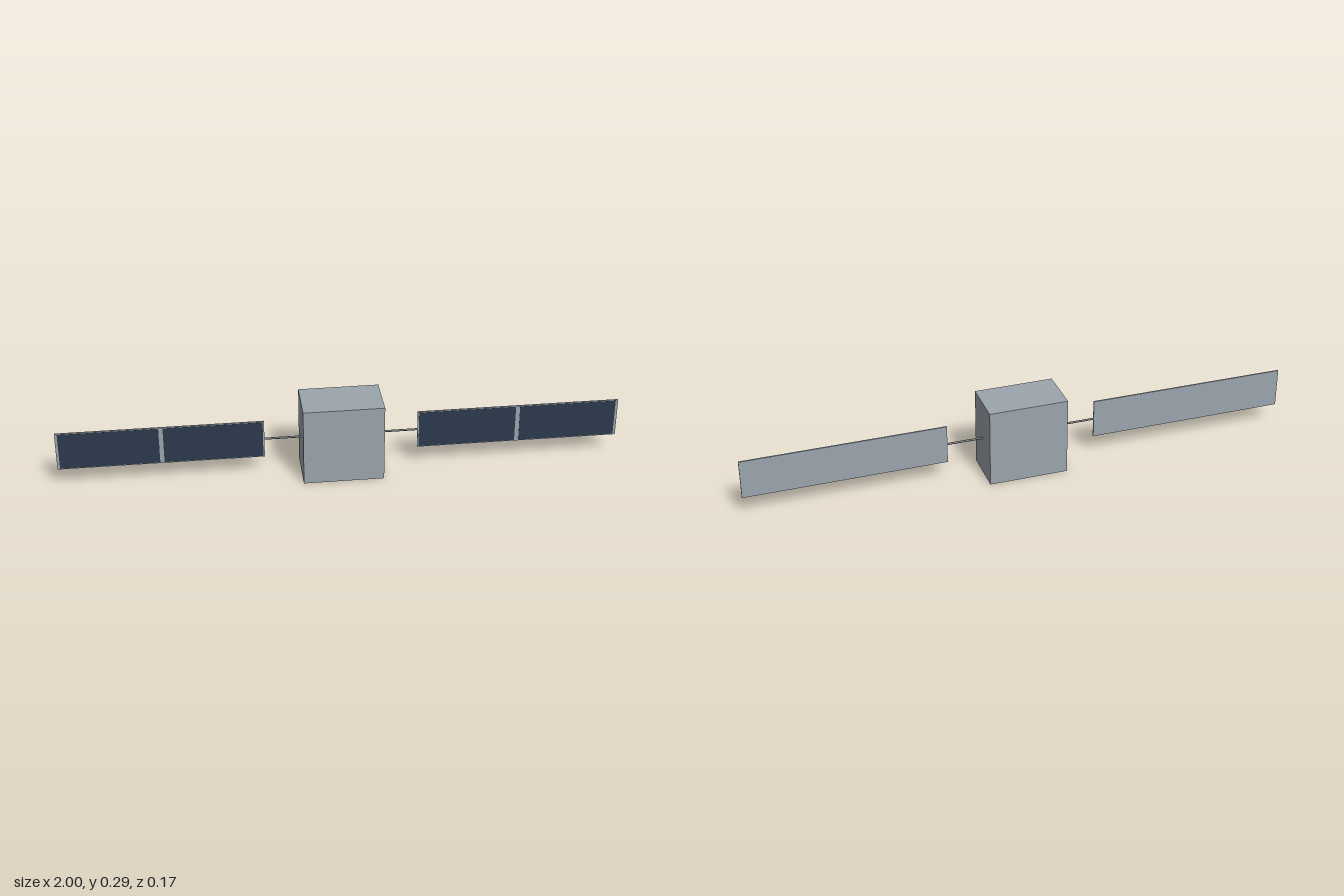
import * as THREE from 'three';

export function createModel() {
  const model = new THREE.Group();
  model.name = 'satellite';
  const grey = new THREE.MeshStandardMaterial({ name: 'hull grey', color: 0x9ca5ad });
  const navy = new THREE.MeshStandardMaterial({ name: 'solar cell navy', color: 0x2c3a4d });
  const dark = new THREE.MeshStandardMaterial({ name: 'boom grey', color: 0x686f75 });
  const midY = 0.143;

  const add = (parent, name, geometry, material, x, y, z) => {
    const mesh = new THREE.Mesh(geometry, material);
    mesh.name = name;
    mesh.position.set(x, y, z);
    parent.add(mesh);
    return mesh;
  };

  // Central box
  add(model, 'body', new THREE.BoxGeometry(0.286, 0.286, 0.171), grey, 0, midY, 0);

  // A boom and a solar wing on each side
  for (const side of [1, -1]) {
    const wing = new THREE.Group();
    wing.name = side > 0 ? 'leftWing' : 'rightWing';
    wing.position.y = midY;
    model.add(wing);

    const boom = add(wing, 'boom', new THREE.CylinderGeometry(0.0036, 0.0036, 0.134, 12), dark, side * 0.208, 0, 0);
    boom.rotation.z = Math.PI / 2;

    add(wing, 'panel', new THREE.BoxGeometry(0.727, 0.143, 0.0056), grey, side * 0.6365, 0, 0);

    // Two dark cell plates on the front, with a bare strip between them
    for (const x of [0.4525, 0.8165]) {
      add(wing, 'solarCells', new THREE.BoxGeometry(0.349, 0.137, 0.001), navy, side * x, 0, 0.003);
    }
  }
  return model;
}
